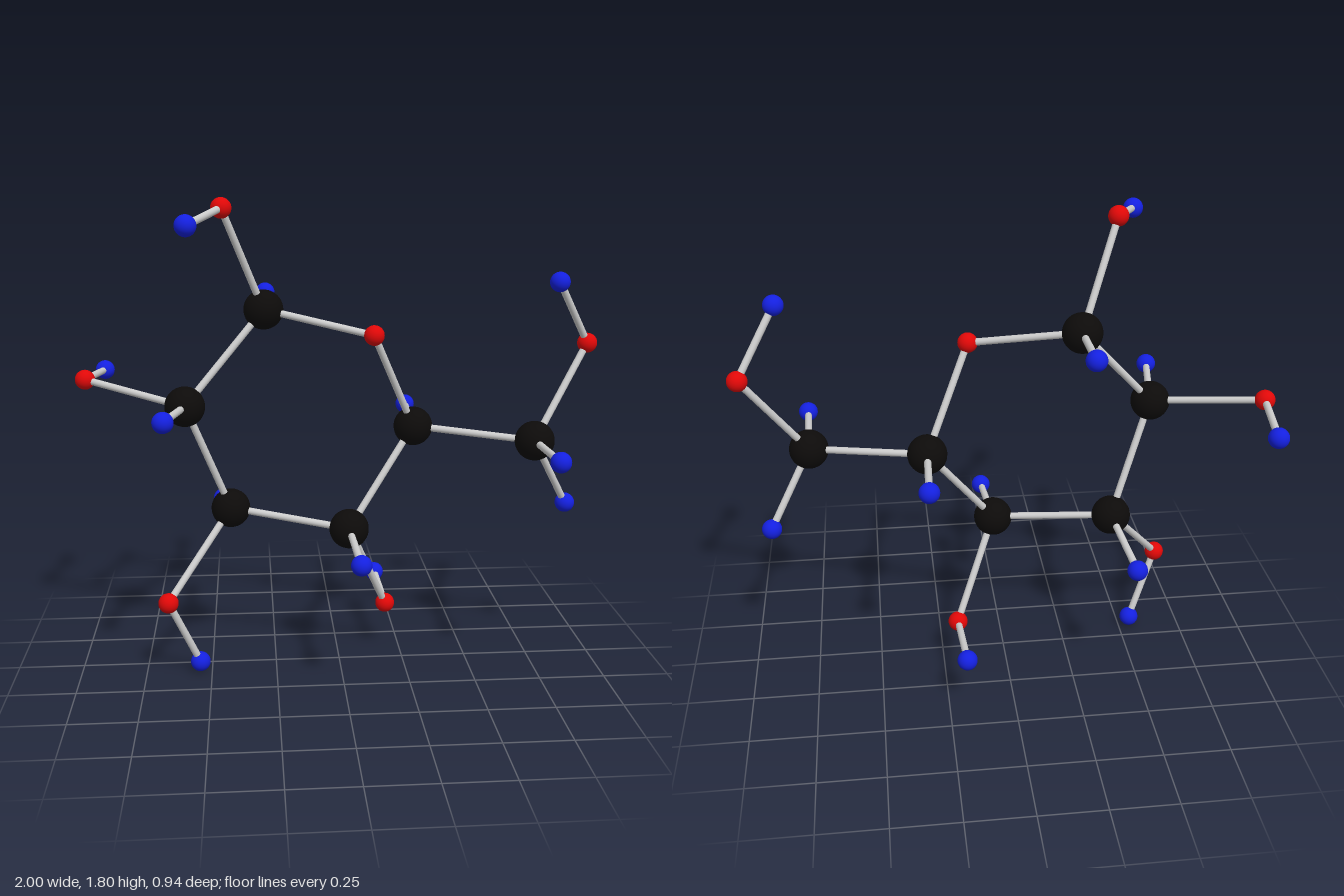
import * as THREE from 'three';

const mat = (color) => new THREE.MeshStandardMaterial({ color });

// Atom centres: the letter gives the kind (C carbon, O oxygen, H hydrogen)
const atoms = {
  C1: [-0.28, 1.385, -0.07],
  C2: [-0.577, 1.045, 0.065],
  C3: [-0.417, 0.617, -0.055],
  C4: [0.032, 0.564, 0.08],
  C5: [0.292, 0.928, -0.067],
  C6: [0.735, 0.898, 0.09],
  O1: [-0.428, 1.767, 0.088],
  O2: [-0.963, 1.115, -0.135],
  O3: [-0.655, 0.31, 0.153],
  O4: [0.192, 0.193, -0.096],
  O5: [0.123, 1.305, 0.088],
  O6: [0.96, 1.248, -0.049],
  H1: [-0.268, 1.414, -0.406],
  H2: [-0.636, 1.059, 0.4],
  H3: [-0.455, 0.563, -0.384],
  H4: [0.048, 0.532, 0.415],
  H5: [0.304, 0.947, -0.404],
  H6: [0.747, 0.9, 0.432],
  H7: [0.891, 0.62, -0.021],
  H8: [-0.542, 1.72, 0.362],
  H9: [-0.92, 1.102, -0.43],
  H10: [-0.544, 0.04, 0.079],
  H11: [0.18, 0.22, -0.394],
  H12: [0.818, 1.492, 0.053],
};

const bonds = [
  // ring
  'C1 C2', 'C2 C3', 'C3 C4', 'C4 C5', 'C5 O5', 'O5 C1',
  // side arms
  'C5 C6', 'C1 O1', 'C2 O2', 'C3 O3', 'C4 O4', 'C6 O6',
  // hydrogens on carbon
  'C1 H1', 'C2 H2', 'C3 H3', 'C4 H4', 'C5 H5', 'C6 H6', 'C6 H7',
  // hydrogens on oxygen
  'O1 H8', 'O2 H9', 'O3 H10', 'O4 H11', 'O6 H12',
];

export function createModel() {
  const model = new THREE.Group();
  model.name = 'ringMolecule';

  const kinds = {
    C: { name: 'carbon', radius: 0.075, material: mat(0x0d0b0a) },
    O: { name: 'oxygen', radius: 0.038, material: mat(0xe00808) },
    H: { name: 'hydrogen', radius: 0.038, material: mat(0x1420e0) },
  };
  for (const kind of Object.values(kinds)) {
    kind.geometry = new THREE.SphereGeometry(kind.radius, 32, 20);
  }

  // Atoms
  for (const [id, centre] of Object.entries(atoms)) {
    const kind = kinds[id[0]];
    const atom = new THREE.Mesh(kind.geometry, kind.material);
    atom.name = kind.name + id.slice(1);
    atom.position.set(...centre);
    model.add(atom);
  }

  // Bonds: one unit rod stretched between each pair of centres
  const rod = new THREE.CylinderGeometry(0.0135, 0.0135, 1, 20);
  const grey = mat(0xcccccc);
  const up = new THREE.Vector3(0, 1, 0);
  for (const pair of bonds) {
    const [a, b] = pair.split(' ').map((id) => new THREE.Vector3(...atoms[id]));
    const along = b.clone().sub(a);
    const bond = new THREE.Mesh(rod, grey);
    bond.name = 'bond' + pair.replace(' ', '');
    bond.position.copy(a).lerp(b, 0.5);
    bond.scale.y = along.length();
    bond.quaternion.setFromUnitVectors(up, along.normalize());
    model.add(bond);
  }

  return model;
}
